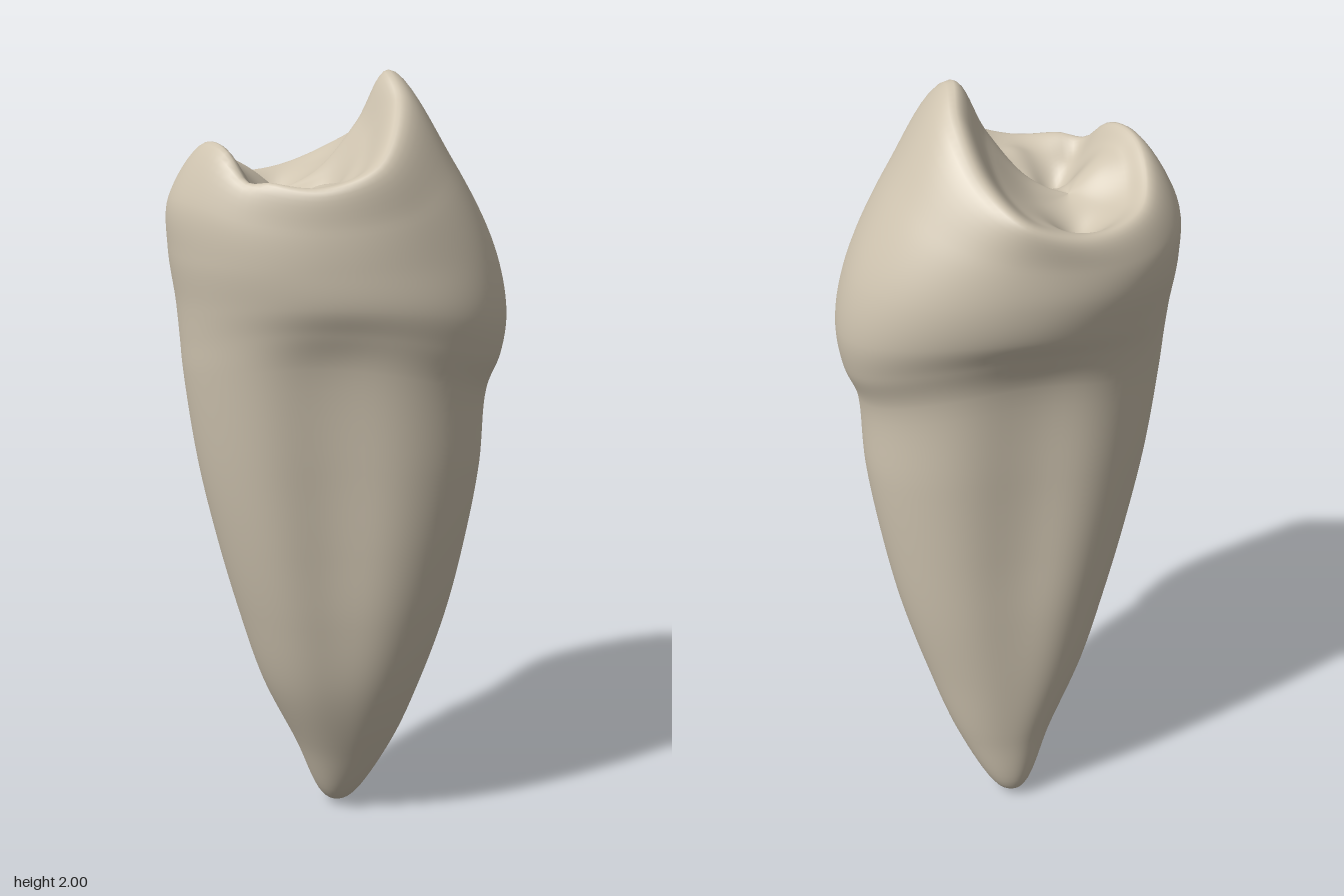
import * as THREE from 'three';

const COLS = 96;      // columns around the tooth
const STEPS = 8;      // rows between two key levels

// Local frame: +z is the cheek side, +x the side next to it; the group is turned 45 degrees.
// Key levels: y, xMin, xMax, zMin, zMax, side groove depth, neckline lift
const LEVELS = [
  [0.03, 0.05, 0.155, -0.048, 0.04, 0, 0],
  [0.2, -0.045, 0.185, -0.118, 0.14, 0.01, 0],
  [0.4, -0.135, 0.211, -0.207, 0.216, 0.05, 0],
  [0.6, -0.19, 0.231, -0.268, 0.278, 0.1, 0],
  [0.8, -0.226, 0.243, -0.32, 0.322, 0.14, 0],
  [1.0, -0.253, 0.253, -0.366, 0.354, 0.14, 0.3],
  [1.2, -0.278, 0.266, -0.398, 0.368, 0.09, 1],
  [1.29, -0.294, 0.289, -0.405, 0.402, 0.03, 1],
  [1.4, -0.31, 0.317, -0.413, 0.415, 0, 0.6],
  [1.56, -0.315, 0.335, -0.43, 0.382, 0, 0],
];

// Rim of the chewing surface, every 30 degrees from the cheek side
const RIM = [
  [-0.025, 1.995, 0.115], [0.09, 1.943, 0.118], [0.225, 1.835, 0.075], [0.318, 1.765, -0.01],
  [0.29, 1.715, -0.15], [0.17, 1.725, -0.31], [-0.005, 1.81, -0.34], [-0.12, 1.83, -0.3],
  [-0.245, 1.77, -0.2], [-0.292, 1.75, -0.06], [-0.275, 1.8, 0.075], [-0.125, 1.937, 0.135],
];

// Pits and ridges: x, z, height, radius
const RELIEF = [
  [0.155, -0.16, -0.045, 0.06], [-0.125, -0.15, -0.05, 0.05], [-0.2, -0.22, -0.035, 0.045],
  [-0.1, -0.04, -0.03, 0.045], [-0.19, -0.06, 0.02, 0.05], [-0.02, -0.23, 0.04, 0.07],
];
const relief = (x, z) => RELIEF.reduce(
  (sum, [px, pz, h, r]) => sum + h * Math.exp(-((x - px) ** 2 + (z - pz) ** 2) / (r * r)), 0);

// Oval section, fuller on the cheek side, with a shallow groove down each side
function levelPoint([y, x0, x1, z0, z1, groove, lift], angle) {
  const s = Math.sin(angle), c = Math.cos(angle);
  const round = v => Math.sign(v) * Math.abs(v) ** (0.96 - 0.05 * c);
  const dent = 1 - groove * Math.exp(-(((c + 0.08) / 0.36) ** 2));
  return new THREE.Vector3(
    (x0 + x1) / 2 + (x1 - x0) / 2 * round(s) * dent,
    y + lift * (0.08 * s * s + 0.025 * (1 - c)),
    (z0 + z1) / 2 + (z1 - z0) / 2 * round(c));
}

// One column of points, from the root tip over the rim to the middle of the chewing surface
function column(j, rimCurve) {
  const angle = j / COLS * Math.PI * 2;
  const keys = [new THREE.Vector3(0.106, 0, -0.007), ...LEVELS.map(l => levelPoint(l, angle))];
  const rim = rimCurve.getPoint(j / COLS);
  const last = keys[keys.length - 1];
  const mid = last.clone().lerp(rim, 0.23 + 0.18 * Math.cos(angle));
  mid.y = (last.y + rim.y) / 2;
  const midRow = keys.length * STEPS;
  keys.push(mid, rim);
  for (const f of [0.72, 0.38, 0]) {
    keys.push(new THREE.Vector3(
      rim.x * f, 1.69 + (rim.y - 1.69) * f ** 1.6, -0.16 + (rim.z + 0.16) * f));
  }
  const points = new THREE.CatmullRomCurve3(keys).getPoints((keys.length - 1) * STEPS);
  points.forEach((p, i) => {
    p.y += relief(p.x, p.z) * THREE.MathUtils.smoothstep(i, midRow, midRow + STEPS);
  });
  return points;
}

export function createModel() {
  const tooth = new THREE.Group();
  tooth.name = 'tooth';
  const ivory = new THREE.MeshStandardMaterial({ color: 0xcfc4b0 });
  ivory.name = 'ivory';

  const rimCurve = new THREE.CatmullRomCurve3(RIM.map(p => new THREE.Vector3(...p)), true);
  const columns = Array.from({ length: COLS }, (_, j) => column(j, rimCurve));
  const rows = columns[0].length;

  const surface = new THREE.BufferGeometry().setFromPoints(columns.flat());
  const indexRows = (from, to) => {
    const index = [];
    for (let j = 0; j < COLS; j++) {
      const a = j * rows, b = ((j + 1) % COLS) * rows;
      for (let i = from; i < to; i++) {
        index.push(a + i, b + i, b + i + 1, a + i, b + i + 1, a + i + 1);
      }
    }
    return index;
  };
  surface.setIndex(indexRows(0, rows - 1));
  surface.computeVertexNormals();

  // Root and crown share the smooth surface and meet at the neck
  const neck = 7 * STEPS;
  for (const [name, from, to] of [['root', 0, neck], ['crown', neck, rows - 1]]) {
    const geometry = surface.clone();
    geometry.setIndex(indexRows(from, to));
    const mesh = new THREE.Mesh(geometry, ivory);
    mesh.name = name;
    mesh.rotation.y = Math.PI / 4;
    tooth.add(mesh);
  }
  return tooth;
}
